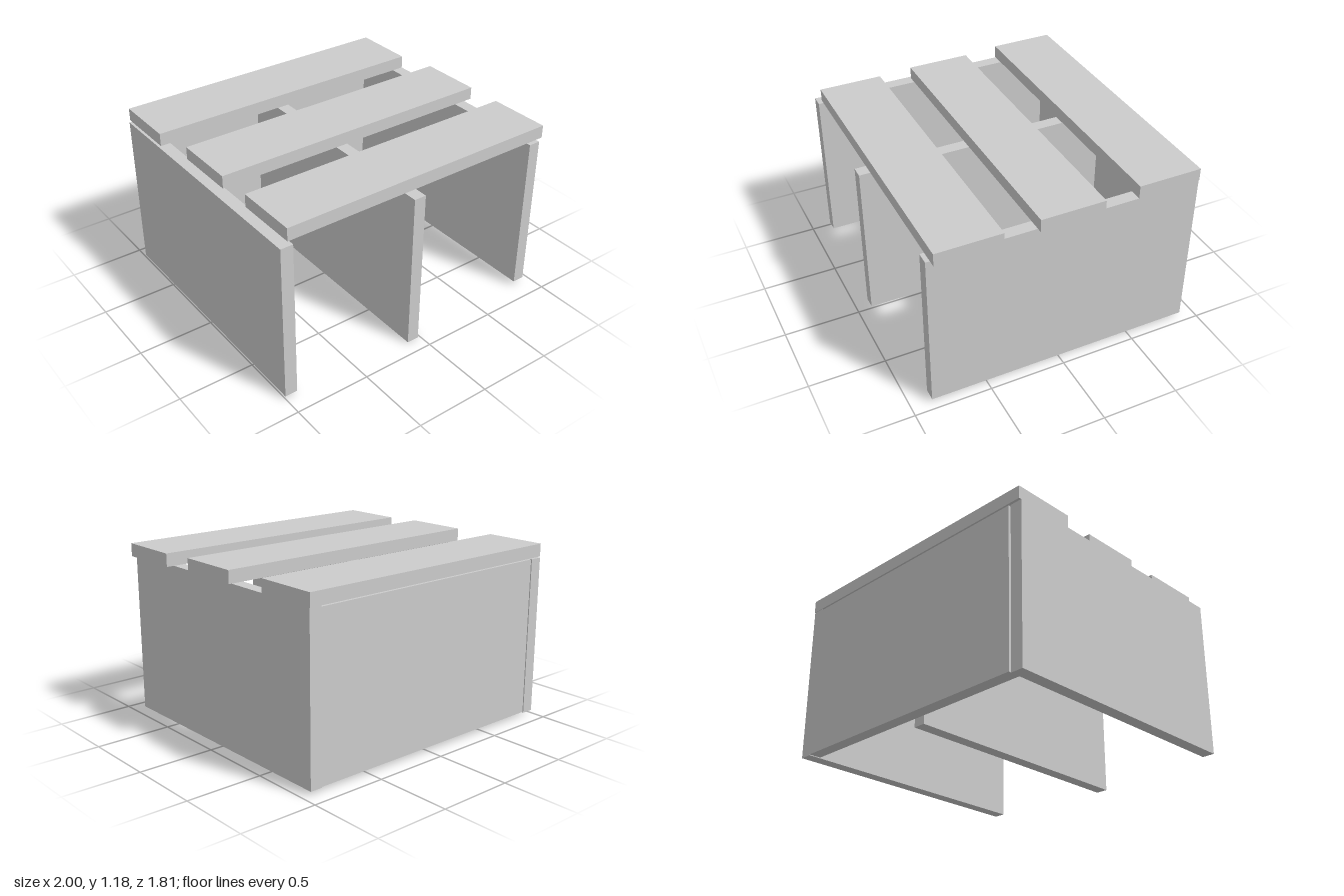
import * as THREE from 'three';

const material = new THREE.MeshStandardMaterial({ color: 0xcccccc, flatShading: true });

// Box given by its extents on each axis
function board(name, [x0, x1], [y0, y1], [z0, z1]) {
  const mesh = new THREE.Mesh(new THREE.BoxGeometry(x1 - x0, y1 - y0, z1 - z0), material);
  mesh.position.set((x0 + x1) / 2, (y0 + y1) / 2, (z0 + z1) / 2);
  mesh.name = name;
  return mesh;
}

export function createModel() {
  const model = new THREE.Group();
  model.name = 'slattedBench';

  // Upright panels, slightly misaligned as if hand built
  model.add(
    board('rightSidePanel', [-1, -0.917], [0.02, 1.075], [-0.897, 0.868]),
    board('middlePanel', [-0.097, -0.015], [0, 1.063], [-0.78, 0.903]),
    board('leftSidePanel', [0.865, 0.946], [0.025, 1.085], [-0.9, 0.868]),
    board('backPanel', [-0.904, 0.865], [0.03, 1.077], [-0.9, -0.818])
  );

  // Top slats with gaps between them
  model.add(
    board('backSlat', [-0.99, 0.946], [1.085, 1.17], [-0.904, -0.483]),
    board('middleSlat', [-0.945, 0.99], [1.095, 1.178], [-0.23, 0.19]),
    board('frontSlat', [-0.935, 0.997], [1.085, 1.17], [0.418, 0.84])
  );
  return model;
}
